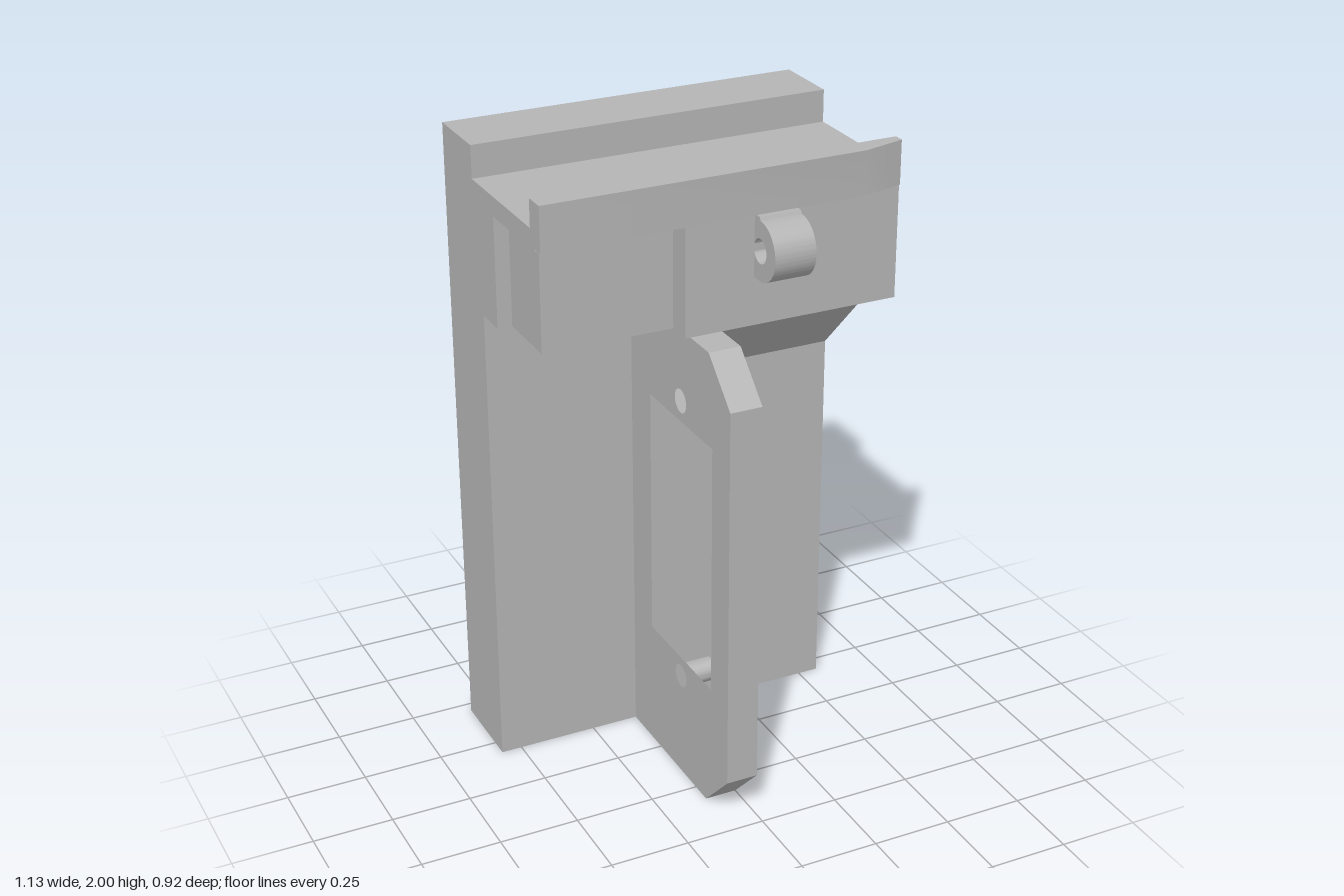
import * as THREE from 'three';
import { toCreasedNormals } from 'three/addons/utils/BufferGeometryUtils.js';

const HALF = 0.565;   // half width
const BACK = -0.46;   // rear face
const SEAM = -0.24;   // rail wall front, where the rear slab meets the body

export function createModel() {
  const group = new THREE.Group();
  const grey = new THREE.MeshStandardMaterial({ color: 0xb4b4b4 });
  grey.name = 'plain grey';

  const add = (name, geometry) => {
    const mesh = new THREE.Mesh(toCreasedNormals(geometry, 0.5), grey);
    mesh.name = name;
    group.add(mesh);
  };
  const polygon = (points) => new THREE.Shape(points.map(([a, b]) => new THREE.Vector2(a, b)));
  const circle = (x, y, r) => new THREE.Path().absarc(x, y, r, 0, Math.PI * 2, true);
  const extrude = (shape, depth) =>
    new THREE.ExtrudeGeometry(shape, { depth, bevelEnabled: false, curveSegments: 24 });

  // Side profiles are given as (z, y) and swept from x0 to x1
  const side = (points) => polygon(points.map(([z, y]) => [-z, y]));
  const sweepX = (shape, x0, x1) => extrude(shape, x1 - x0).rotateY(Math.PI / 2).translate(x0, 0, 0);

  // Rear slab with two blind screw holes
  const slab = polygon([[-HALF, 0], [HALF, 0], [HALF, 2], [-HALF, 2]]);
  slab.holes.push(circle(0.3, 1.7, 0.08), circle(0.355, 0.43, 0.08));
  add('backPlate', extrude(slab, SEAM - BACK).translate(0, 0, BACK));

  // Body in sections across the width: sloped, square, and two recessed steps
  const section = (name, x0, x1, front) => add(name, sweepX(side([
    [SEAM, 0], [-0.19, 0], ...front, [0.21, 1.9], [SEAM, 1.9],
  ]), x0, x1));
  section('slopedBody', 0, HALF, [[-0.19, 1.2], [0.1, 1.5], [0.21, 1.5]]);
  section('middleBody', -0.115, 0, [[-0.19, 1.5], [0.21, 1.5]]);
  const recess = (z) => [[-0.19, 1.5], [z, 1.5], [z, 1.84], [0.21, 1.84]];
  section('recessedBody', -0.52, -0.115, recess(0.13));
  section('recessedEnd', -HALF, -0.52, recess(-0.085));

  // Front lip of the rail, tapered at one end
  const lip = polygon([
    [-HALF, -0.25], [0.43, -0.25], [HALF, -0.215], [HALF, -0.183], [-HALF, -0.183],
  ]);
  add('railLip', extrude(lip, 0.135).rotateX(-Math.PI / 2).translate(0, 1.85, 0));

  // Upright fin with a window and two screw holes
  const fin = side([
    [-0.19, 0], [0.32, 0], [0.46, 0.142], [0.46, 1.37], [0.325, 1.5], [-0.19, 1.5],
  ]);
  fin.holes.push(
    side([[-0.06, 0.41], [0.35, 0.41], [0.35, 1.21], [-0.06, 1.21]]),
    circle(-0.145, 0.345, 0.037),
    circle(-0.145, 1.275, 0.037),
  );
  add('fin', sweepX(fin, -0.1, 0));

  // Hinge eye on the front face
  const eye = new THREE.Shape();
  eye.moveTo(-0.205, 1.648);
  eye.lineTo(-0.205, 1.838);
  eye.lineTo(-0.24, 1.838);
  eye.absarc(-0.245, 1.738, 0.09, Math.PI / 2, Math.PI * 1.5, false);
  eye.closePath();
  eye.holes.push(circle(-0.245, 1.738, 0.037));
  add('hingeEye', sweepX(eye, 0.1, 0.23));

  return group;
}
